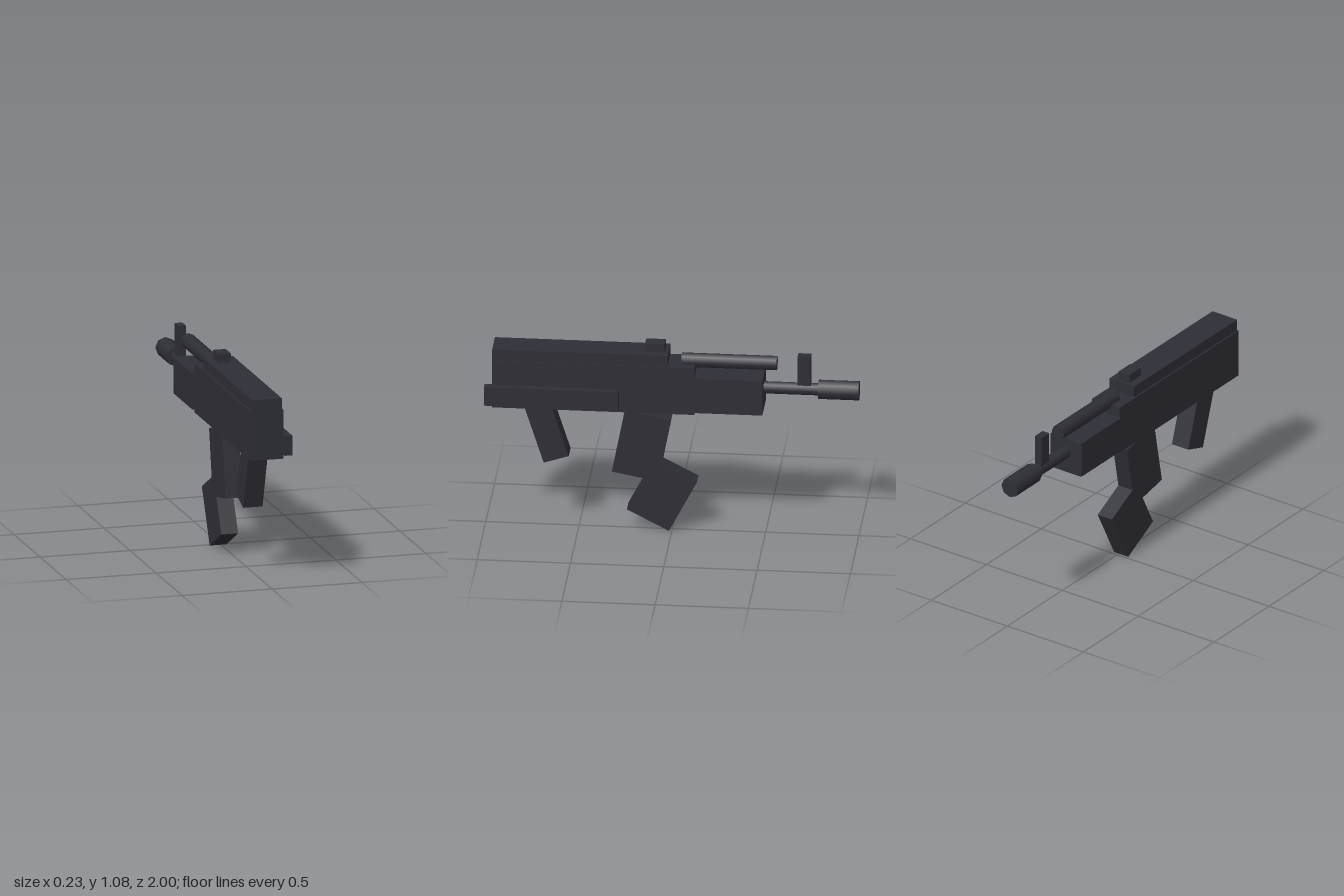
import * as THREE from 'three';

export function createModel() {
  const model = new THREE.Group();
  const gunmetal = new THREE.MeshStandardMaterial({ color: 0x2e2e36 });
  gunmetal.name = 'gunmetal';
  const axisX = -0.0155; // the body sits slightly to one side of the side bar

  const add = (name, geometry) => {
    const mesh = new THREE.Mesh(geometry, gunmetal);
    mesh.name = name;
    model.add(mesh);
    return mesh;
  };

  // Upright block given by its limits on each axis
  const block = (name, [x0, x1], [y0, y1], [z0, z1]) =>
    add(name, new THREE.BoxGeometry(x1 - x0, y1 - y0, z1 - z0))
      .position.set((x0 + x1) / 2, (y0 + y1) / 2, (z0 + z1) / 2);

  // Block tilted forwards or backwards about the x axis
  const tilted = (name, size, y, z, angle) => {
    const mesh = add(name, new THREE.BoxGeometry(...size));
    mesh.position.set(axisX, y, z);
    mesh.rotation.x = angle;
  };

  // Eight-sided rod running along z
  const rod = (name, radius, y, z0, z1) => {
    const mesh = add(name, new THREE.CylinderGeometry(radius, radius, z1 - z0, 8));
    mesh.rotation.x = Math.PI / 2;
    mesh.position.set(axisX, y, (z0 + z1) / 2);
  };

  // Body
  block('receiver', [-0.106, 0.075], [0.709, 0.98], [-0.125, 0.96]);
  block('topCover', [-0.097, 0.066], [0.98, 1.043], [0.02, 0.96]);
  block('handguard', [-0.118, 0.086], [0.725, 0.925], [-0.49, -0.125]);
  block('sideBar', [0.07, 0.115], [0.735, 0.842], [0.28, 1.0]);

  // Sights
  block('rearSight', [-0.051, 0.02], [1.04, 1.09], [0.04, 0.145]);
  block('frontSight', [-0.038, 0.005], [0.85, 1.043], [-0.742, -0.672]);

  // Barrel
  rod('gasTube', 0.041, 0.99, -0.56, -0.05);
  rod('barrel', 0.035, 0.846, -0.8, -0.45);
  rod('muzzle', 0.055, 0.846, -1.0, -0.782);

  // Grip and two-part bent magazine
  tilted('grip', [0.107, 0.38, 0.141], 0.583, 0.6775, 0.313);
  tilted('upperMagazine', [0.093, 0.366, 0.253], 0.496, 0.163, -0.19);
  tilted('lowerMagazine', [0.093, 0.326, 0.254], 0.209, 0.0535, -0.477);

  return model;
}
